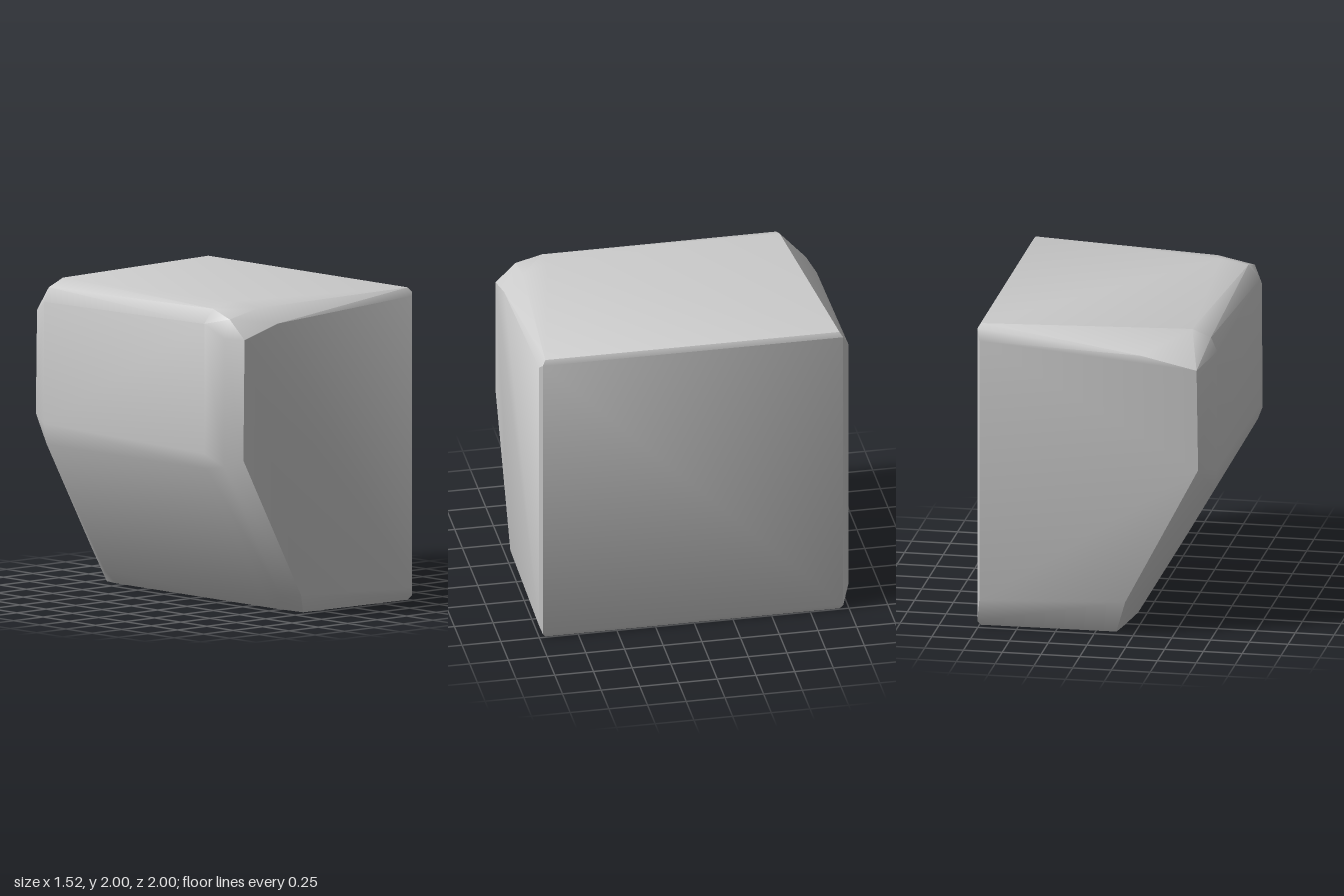
import * as THREE from 'three';
import { ConvexGeometry } from 'three/addons/geometries/ConvexGeometry.js';
import { toCreasedNormals } from 'three/addons/utils/BufferGeometryUtils.js';

// Worn left-hand outlines [x, y] at each depth z, from top to bottom
const sections = [
  { z: 1, outline: [[0.74, 1.95], [-0.4, 1.88], [-0.68, 1.8], [-0.69, 1.03], [-0.2, 0.12], [0.74, 0.08]] },
  { z: 0.87, outline: [[-0.45, 1.97], [-0.69, 1.92], [-0.735, 1.8], [-0.74, 0.98], [-0.25, 0.1]] },
  { z: 0.7, outline: [[-0.5, 2], [-0.68, 1.97], [-0.755, 1.88], [-0.755, 1.05], [-0.74, 0.95], [-0.25, 0.1], [-0.15, 0]] },
  { z: -0.82, outline: [[-0.6, 2], [-0.72, 1.95], [-0.76, 1.86], [-0.76, 1.08], [-0.74, 0.95], [-0.25, 0.1], [-0.15, 0]] },
  { z: -1, outline: [[0.74, 1.9], [-0.3, 1.86], [-0.66, 1.78], [-0.67, 1.12], [-0.2, 0.22], [0.74, 0.18]] },
];

export function createModel() {
  const group = new THREE.Group();
  group.name = 'stoneBlock';

  const points = [];
  for (const { z, outline } of sections) {
    for (const [x, y] of outline) points.push(new THREE.Vector3(x, y, z));
  }

  // Flat right side with a narrow bevel along its four edges
  for (const [y, inner] of [[0.03, 0], [1.97, 2]]) {
    for (const z of [0.96, -0.94]) {
      points.push(new THREE.Vector3(0.76, y, z + Math.sign(z) * 0.02));
      points.push(new THREE.Vector3(0.74, inner, z));
    }
  }

  // Front and back edges of the flat underside
  points.push(new THREE.Vector3(-0.13, 0, 0.94), new THREE.Vector3(-0.13, 0, -0.93));

  const geometry = toCreasedNormals(new ConvexGeometry(points), 0.7);
  const rock = new THREE.Mesh(geometry, new THREE.MeshStandardMaterial({ color: 0xcccccc }));
  rock.name = 'rock';
  group.add(rock);
  return group;
}
